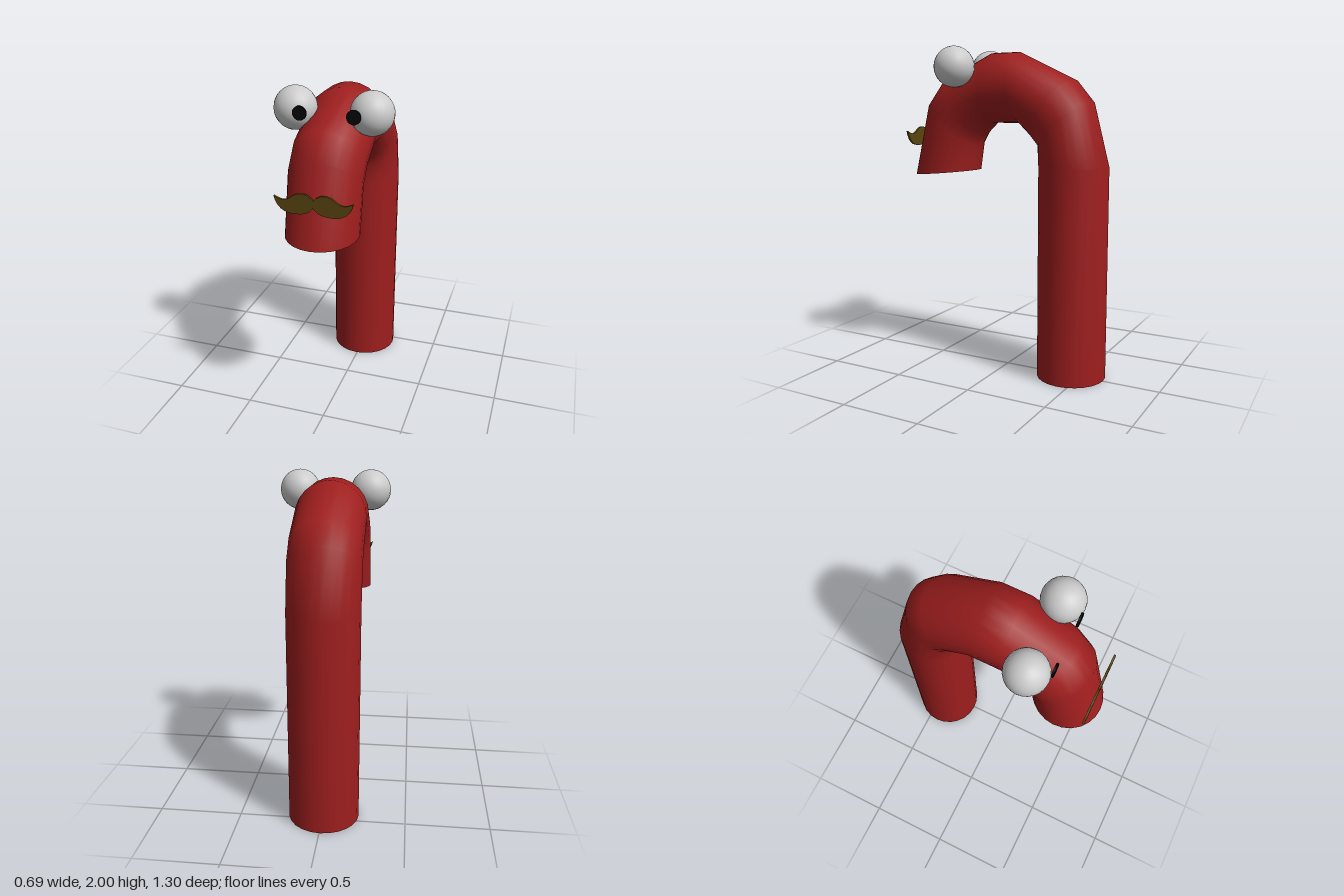
import * as THREE from 'three';

const mat = (color, extra = {}) => new THREE.MeshStandardMaterial({ color, ...extra });

// Tube skinned through rings, each given by its outer and inner edge [z, y].
function bentTube(rings, radius, sides) {
  const pos = [], index = [];
  const ring = ([oz, oy, iz, iy]) => {
    const cz = (oz + iz) / 2, cy = (oy + iy) / 2;
    for (let j = 0; j < sides; j++) {
      const a = (j / sides) * Math.PI * 2, c = Math.cos(a);
      pos.push(-Math.sin(a) * radius, cy + c * (oy - cy), cz + c * (oz - cz));
    }
  };
  rings.forEach(ring);
  for (let i = 0; i < rings.length - 1; i++) {
    for (let j = 0; j < sides; j++) {
      const k = (j + 1) % sides, a = i * sides, b = a + sides;
      index.push(a + j, a + k, b + k, a + j, b + k, b + j);
    }
  }
  // Flat caps with their own vertices, so the rims stay sharp
  [rings[0], rings[rings.length - 1]].forEach((r, end) => {
    const s = pos.length / 3;
    ring(r);
    for (let j = 1; j < sides - 1; j++) {
      index.push(s, ...(end ? [s + j, s + j + 1] : [s + j + 1, s + j]));
    }
  });
  const g = new THREE.BufferGeometry();
  g.setAttribute('position', new THREE.Float32BufferAttribute(pos, 3));
  g.setIndex(index);
  g.computeVertexNormals();
  return g;
}

export function createModel() {
  const model = new THREE.Group();
  const add = (name, geometry, material, x, y, z, parent = model) => {
    const m = new THREE.Mesh(geometry, material);
    m.name = name;
    m.position.set(x, y, z);
    parent.add(m);
    return m;
  };

  // Body: upright stem bending over into a drooping head
  const rings = [
    [-0.65, 0, -0.23, 0],
    [-0.65, 1.29, -0.23, 1.29],
    [-0.55, 1.67, -0.23, 1.4],
    [-0.44, 1.8, -0.17, 1.47],
    [-0.08, 1.97, -0.1, 1.545],
    [0.09, 1.97, 0.1, 1.545],
    [0.43, 1.81, 0.17, 1.47],
    [0.54, 1.67, 0.21, 1.4],
    [0.65, 1.21, 0.23, 1.245],
  ];
  add('body', bentTube(rings, 0.212, 24), mat(0x9e1e1e), -0.005, 0, 0);

  // Eyes with flat disc pupils, turned slightly inward
  const ball = new THREE.SphereGeometry(0.123, 24, 16);
  const disc = new THREE.CylinderGeometry(0.04, 0.04, 0.012, 20).rotateX(Math.PI / 2);
  const white = mat(0xcccccc), black = mat(0x050505);
  for (const side of [-1, 1]) {
    const eye = new THREE.Group();
    eye.name = side > 0 ? 'leftEye' : 'rightEye';
    eye.position.set(side * 0.22, 1.88, 0.248);
    model.add(eye);
    add('eyeball', ball, white, 0, 0, 0, eye);
    add('pupil', disc, black, -side * 0.068, 0.003, 0.122, eye);
  }

  // Moustache: one curled half, mirrored
  const hair = mat(0x5a4510, { side: THREE.DoubleSide });
  const moustache = new THREE.Group();
  moustache.name = 'moustache';
  moustache.position.set(0.003, 0, 0.592);
  model.add(moustache);
  for (const side of [-1, 1]) {
    const s = new THREE.Shape();
    s.moveTo(0, 1.485);
    s.bezierCurveTo(side * 0.03, 1.525, side * 0.09, 1.53, side * 0.13, 1.49);
    s.bezierCurveTo(side * 0.16, 1.465, side * 0.19, 1.475, side * 0.223, 1.492);
    s.bezierCurveTo(side * 0.21, 1.43, side * 0.17, 1.4, side * 0.11, 1.4);
    s.bezierCurveTo(side * 0.05, 1.4, side * 0.02, 1.41, 0, 1.445);
    const g = new THREE.ExtrudeGeometry(s, { depth: 0.013, bevelEnabled: false, curveSegments: 6 });
    add(side > 0 ? 'leftHalf' : 'rightHalf', g, hair, 0, 0, 0, moustache);
  }
  return model;
}
